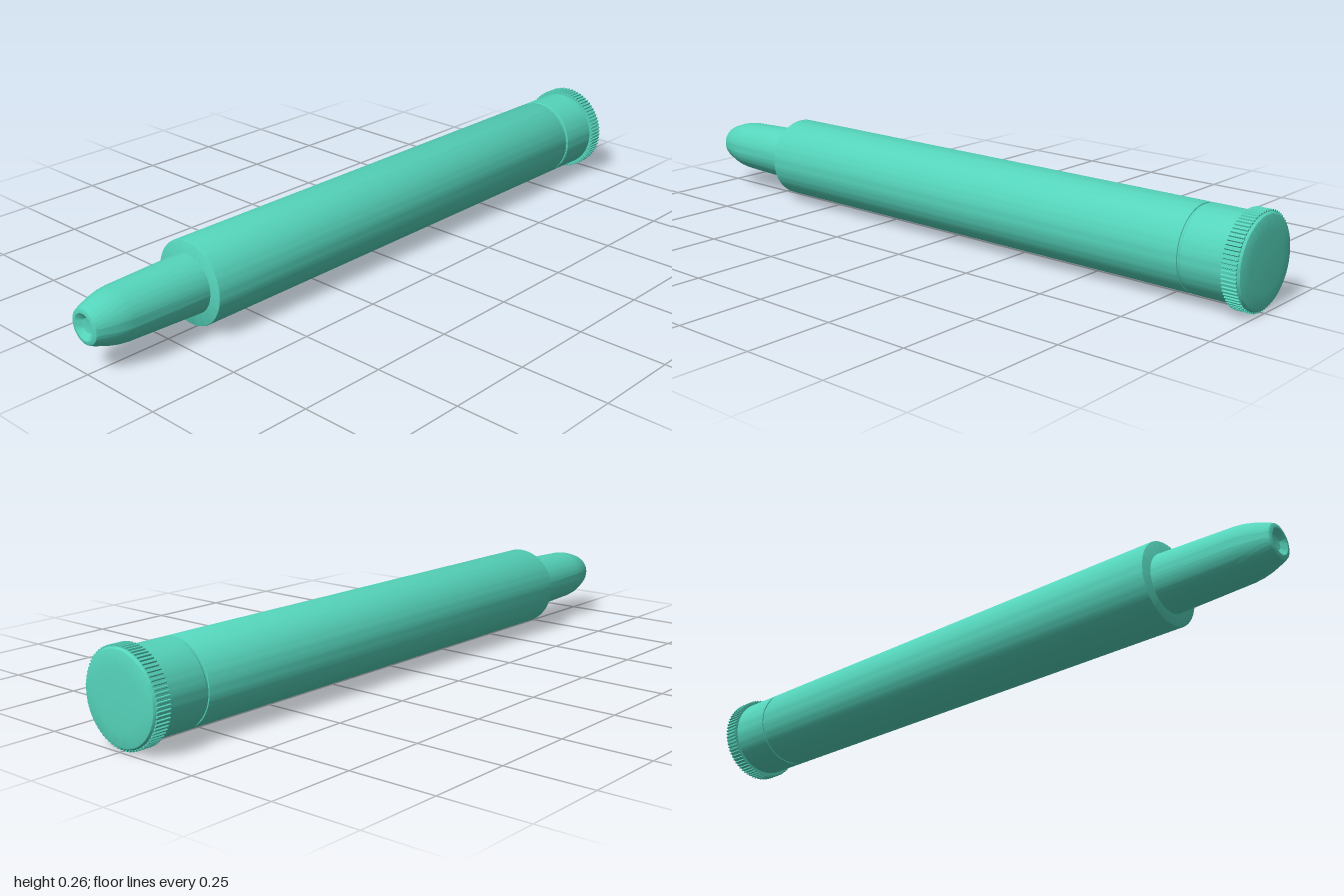
import * as THREE from 'three';
import { toCreasedNormals } from 'three/addons/utils/BufferGeometryUtils.js';

const AXIS_HEIGHT = 0.131;

export function createModel() {
  const model = new THREE.Group();
  model.name = 'penBarrel';
  const material = new THREE.MeshStandardMaterial({ color: 0x55d4bb });

  const add = (name, geometry) => {
    const mesh = new THREE.Mesh(toCreasedNormals(geometry, 0.5), material);
    mesh.name = name;
    mesh.position.y = AXIS_HEIGHT;
    model.add(mesh);
    return mesh;
  };

  // Turned part along x, from [x, radius] pairs running left to right
  const turned = (name, profile) => {
    const points = profile.map(([x, r]) => new THREE.Vector2(r, x));
    return add(name, new THREE.LatheGeometry(points, 96).rotateZ(-Math.PI / 2));
  };

  // Tapered nose with a shallow dimple in its end
  turned('nose', [
    [-0.985, 0], [-0.988, 0.02], [-0.998, 0.033], [-1, 0.036], [-1, 0.042],
    [-0.997, 0.048], [-0.985, 0.054], [-0.95, 0.066], [-0.925, 0.072],
    [-0.9, 0.075], [-0.66, 0.083],
  ]);

  // Main barrel with softened rims
  turned('barrel', [
    [-0.672, 0], [-0.672, 0.115], [-0.671, 0.117], [-0.668, 0.118],
    [0.81, 0.118], [0.815, 0.116], [0.816, 0.113], [0.816, 0],
  ]);

  // Narrow groove between barrel and cap
  turned('groove', [[0.81, 0.113], [0.83, 0.113]]);

  // End cap with a rounded, slightly domed face
  turned('cap', [
    [0.823, 0], [0.823, 0.116], [0.826, 0.118], [0.95, 0.118],
    [0.95, 0.126], [0.985, 0.126], [0.991, 0.1245], [0.995, 0.121],
    [0.997, 0.115], [0.999, 0.08], [1, 0],
  ]);

  // Knurled grip ring: small teeth around the cap
  const teeth = 72;
  const ring = new THREE.Shape();
  const corners = [[0, 0.126], [0.4, 0.126], [0.55, 0.13], [0.85, 0.13]];
  for (let i = 0; i < teeth; i++) {
    for (const [t, r] of corners) {
      const a = ((i + t - 0.7) / teeth) * Math.PI * 2;
      const x = r * Math.cos(a), y = r * Math.sin(a);
      if (i === 0 && t === 0) ring.moveTo(x, y);
      else ring.lineTo(x, y);
    }
  }
  const bore = new THREE.Path();
  bore.absarc(0, 0, 0.117, 0, Math.PI * 2, true);
  ring.holes.push(bore);
  const knurl = new THREE.ExtrudeGeometry(ring, { depth: 0.042, bevelEnabled: false, curveSegments: 48 });
  add('knurledRing', knurl.rotateY(Math.PI / 2).translate(0.947, 0, 0));

  return model;
}
